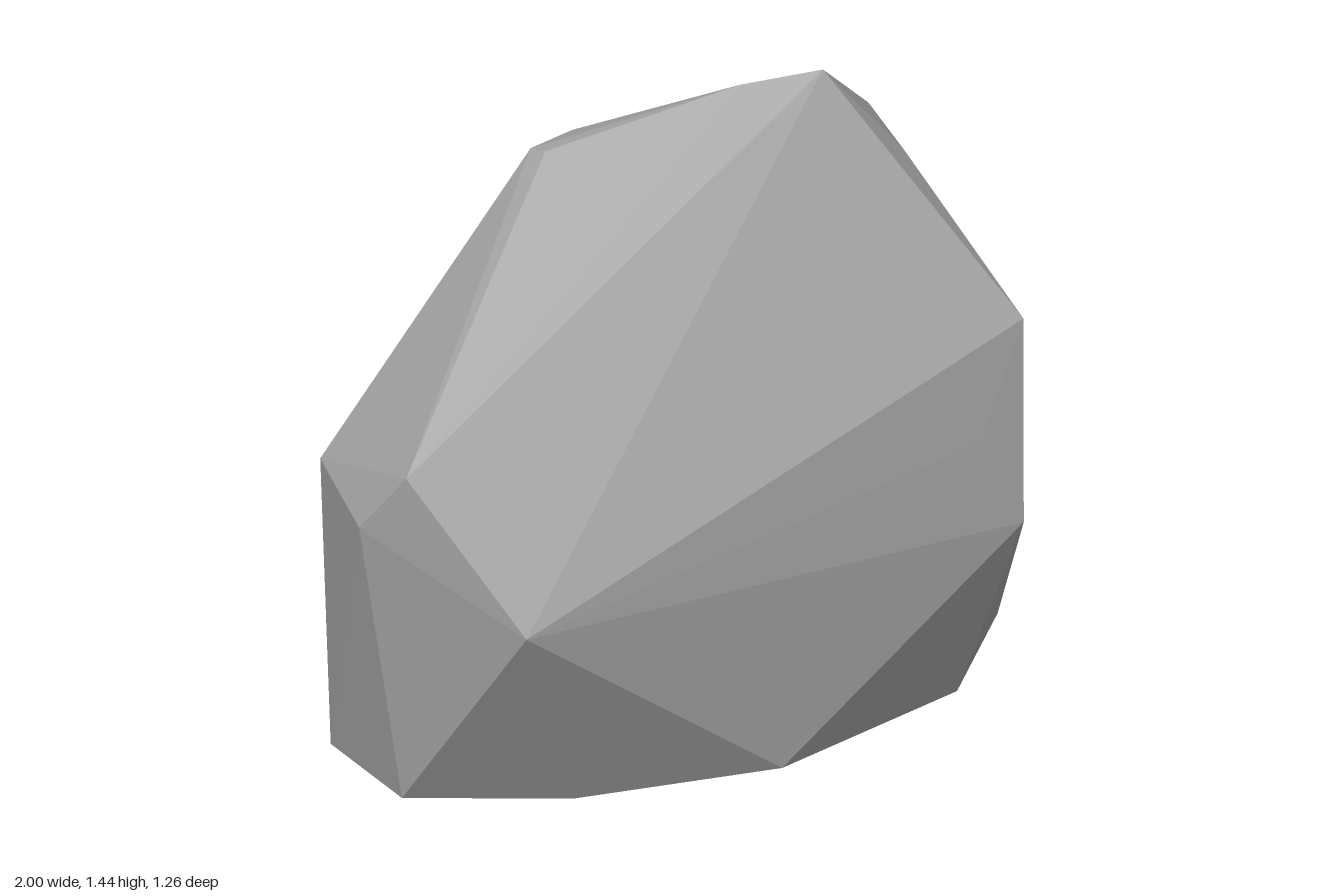
import * as THREE from 'three';
import { ConvexGeometry } from 'three/addons/geometries/ConvexGeometry.js';

// Corner points of a faceted boulder, grouped by level
const base = [
  [-0.9, 0, 0.24], [-0.59, 0, 0.48], [-0.1, 0, 0.62], [0.5, 0, 0.49], [0.86, 0, 0.17],
  [1, 0, -0.165], [0.67, 0, -0.38], [0.24, 0, -0.495], [-0.33, 0, -0.385], [-0.83, 0, -0.12],
];
const waist = [
  [-0.84, 0.5, 0.63], [0.6, 0.43, 0.61], [0.5, 0.64, 0.58], [0.66, 0.89, 0.53],
  [0.57, 0.86, -0.42], [0.36, 0.74, -0.63], [-0.86, 0.71, -0.12],
  [-1, 0.68, 0.21], [-0.96, 0.83, 0.335],
];
const crown = [
  [0.39, 1.44, 0.13], [0.2, 1.43, 0.07], [-0.28, 1.35, -0.035], [-0.28, 1.34, -0.09],
  [-0.1, 1.315, -0.17], [0.12, 1.13, -0.33], [0.68, 1.22, -0.08], [0.57, 1.22, 0.2],
];

export function createModel() {
  const group = new THREE.Group();
  group.name = 'boulder';

  const stone = new THREE.MeshStandardMaterial({ color: 0xa3a3a3 });
  stone.name = 'stone grey';

  // One hull, with a flat normal on every facet
  const points = [...base, ...waist, ...crown].map((p) => new THREE.Vector3(...p));
  const rock = new THREE.Mesh(new ConvexGeometry(points), stone);
  rock.name = 'rock';
  group.add(rock);

  return group;
}
